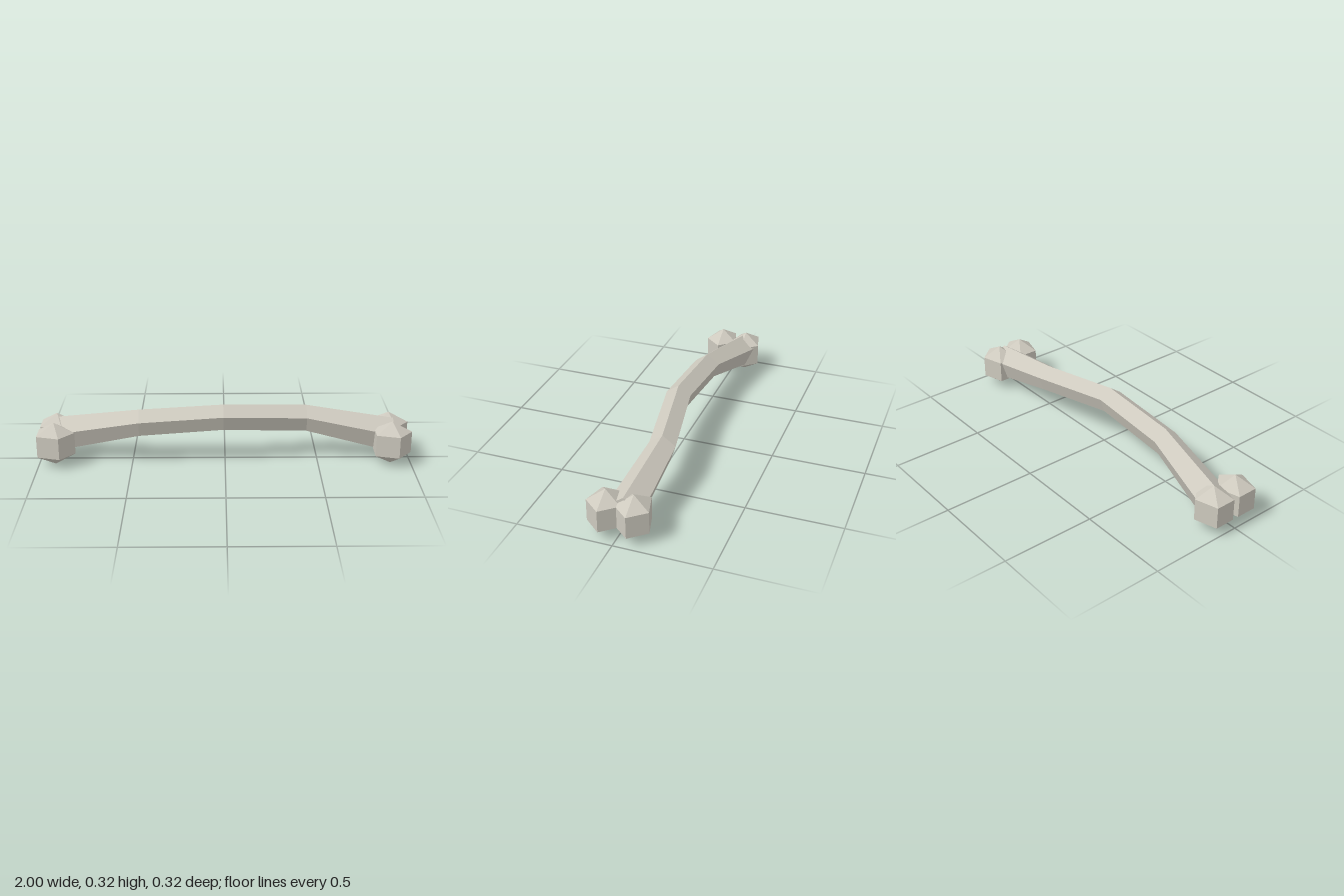
import * as THREE from 'three';

export function createModel() {
  const group = new THREE.Group();
  group.name = 'bone';
  const bone = new THREE.MeshStandardMaterial({ color: 0xcdc9be, flatShading: true });
  bone.name = 'bone';

  // Shaft: bent five-sided bar, each station is [x, ridge y, ridge z, radius]
  const stations = [
    [-0.91, 0.22, -0.058, 0.096],
    [-0.46, 0.292, 0.025, 0.074],
    [-0.01, 0.323, 0.035, 0.071],
    [0.44, 0.29, -0.043, 0.074],
    [0.91, 0.22, -0.025, 0.097],
  ];
  const sides = 5;
  const point = (i, j) => {
    const [x, y, z, r] = stations[i];
    const a = (j / sides) * Math.PI * 2;
    return [x, y - r + r * Math.cos(a), z + r * Math.sin(a)];
  };
  const centre = (i) => [stations[i][0], stations[i][1] - stations[i][3], stations[i][2]];
  const positions = [];
  const tri = (a, b, c) => positions.push(...a, ...b, ...c);
  const last = stations.length - 1;
  for (let j = 0; j < sides; j++) {
    for (let i = 0; i < last; i++) {
      tri(point(i, j), point(i, j + 1), point(i + 1, j));
      tri(point(i + 1, j), point(i, j + 1), point(i + 1, j + 1));
    }
    // End caps
    tri(centre(0), point(0, j + 1), point(0, j));
    tri(centre(last), point(last, j), point(last, j + 1));
  }
  const shaftGeometry = new THREE.BufferGeometry();
  shaftGeometry.setAttribute('position', new THREE.Float32BufferAttribute(positions, 3));
  shaftGeometry.computeVertexNormals();
  const shaft = new THREE.Mesh(shaftGeometry, bone);
  shaft.name = 'shaft';
  group.add(shaft);

  // Knobs: a pair of low-poly balls at each end, all with a corner toward +x
  const knobGeometry = new THREE.SphereGeometry(1, 5, 3);
  knobGeometry.rotateY(Math.PI);
  knobGeometry.scale(0.125, 0.1185, 0.107);
  for (const [x, end] of [[-0.912, 'right'], [0.891, 'left']]) {
    for (const [z, face] of [[0.072, 'Front'], [-0.072, 'Back']]) {
      const knob = new THREE.Mesh(knobGeometry, bone);
      knob.name = end + face + 'Knob';
      knob.position.set(x, 0.1185, z);
      group.add(knob);
    }
  }
  return group;
}
